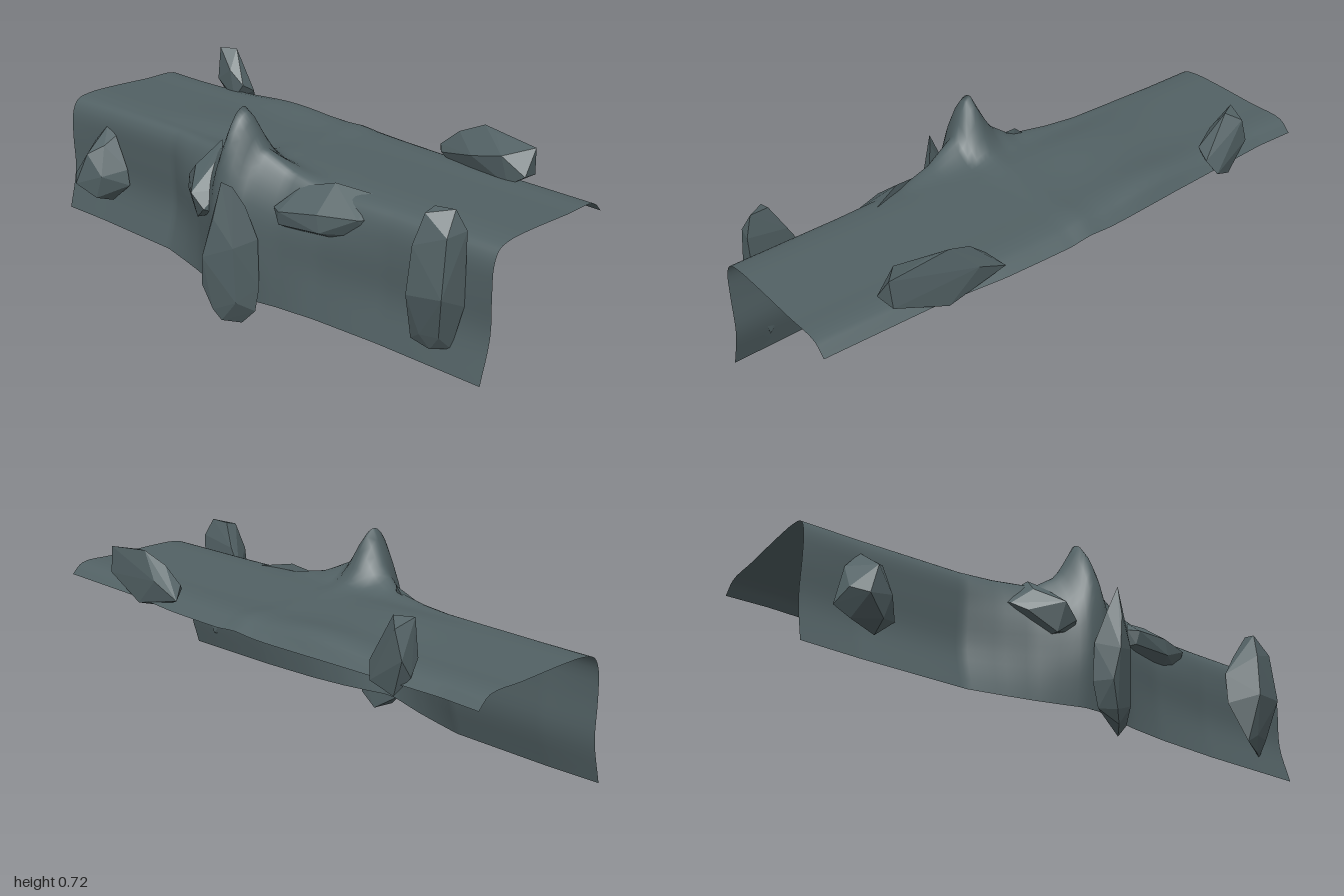
import * as THREE from 'three';
import { ConvexGeometry } from 'three/addons/geometries/ConvexGeometry.js';

const stone = new THREE.MeshStandardMaterial({ color: 0x526164, side: THREE.DoubleSide });
stone.name = 'slate grey stone';

// Smooth interpolation through [x, value] keys
function keyed(keys, x) {
  let i = 0;
  while (i < keys.length - 2 && x > keys[i + 1][0]) i++;
  const [x0, a] = keys[i], [x1, b] = keys[i + 1];
  return THREE.MathUtils.lerp(a, b, THREE.MathUtils.clamp((x - x0) / (x1 - x0), 0, 1));
}

// Cross-sections [z, y] from the back lip, over the top and down the front wall
const plain = [[-0.385, 0.475], [-0.34, 0.512], [-0.2, 0.517], [0, 0.524], [0.09, 0.522],
  [0.14, 0.508], [0.163, 0.465], [0.164, 0.37], [0.16, 0.23], [0.2, 0.08]];
const peak = [[-0.425, 0.485], [-0.36, 0.522], [-0.2, 0.522], [0, 0.532], [0.1, 0.56],
  [0.205, 0.725], [0.25, 0.705], [0.322, 0.54], [0.335, 0.3], [0.305, 0.08]];

// How far the front wall bulges, the peak rises and the back edge bows along x
const bulge = [[-1, 0.08], [-0.8, 0], [-0.42, 0], [-0.3, 0.25], [-0.2, 0.48], [-0.1, 0.76], [-0.03, 0.97],
  [0.03, 0.97], [0.1, 0.78], [0.2, 0.55], [0.35, 0.33], [0.6, 0.14], [1, 0.02]];
const rise = [[-1, 0], [-0.3, 0.06], [-0.15, 0.12], [-0.07, 0.38], [0, 1], [0.03, 0.9],
  [0.08, 0.42], [0.2, 0.16], [0.35, 0], [1, 0]];
const bow = [[-1, 0], [-0.85, -0.15], [-0.4, 0.4], [-0.1, 0.85], [0.1, 1], [0.35, 0.75], [0.6, 0.15], [1, 0]];

function ledgeGeometry() {
  const nx = 100, ns = 36;
  const pos = [], index = [];
  for (let i = 0; i <= nx; i++) {
    const x = -1 + 2 * i / nx;
    const wz = keyed(bulge, x), wy = keyed(rise, x), wb = keyed(bow, x);
    const swell = 0.022 * Math.exp(-(((x + 0.32) / 0.22) ** 2));
    const curve = new THREE.CatmullRomCurve3(plain.map(([z, y], k) => new THREE.Vector3(
      x,
      THREE.MathUtils.lerp(y, peak[k][1], wy) + (k > 0 && k < 4 ? swell * (k === 1 ? 1 : 0.5) : 0),
      THREE.MathUtils.lerp(z, peak[k][0], k < 3 ? wb : wz))), false, 'centripetal');
    for (let j = 0; j <= ns; j++) {
      const p = curve.getPoint(j / ns);
      pos.push(p.x, p.y, p.z);
      if (i < nx && j < ns) {
        const a = i * (ns + 1) + j, b = a + ns + 1;
        index.push(a, a + 1, b, b, a + 1, b + 1);
      }
    }
  }
  const g = new THREE.BufferGeometry();
  g.setAttribute('position', new THREE.Float32BufferAttribute(pos, 3));
  g.setIndex(index);
  g.computeVertexNormals();
  return g;
}

// Faceted rocks, each the hull of a few corner points
const rocks = {
  leftWallRock: [[-0.9, 0.23, 0.2], [-0.86, 0.38, 0.18], [-0.8, 0.455, 0.16], [-0.74, 0.43, 0.17], [-0.68, 0.31, 0.17],
    [-0.67, 0.25, 0.17], [-0.75, 0.175, 0.19], [-0.85, 0.19, 0.22], [-0.83, 0.25, 0.3], [-0.88, 0.27, 0.26],
    [-0.79, 0.37, 0.27], [-0.73, 0.29, 0.255], [-0.75, 0.4, 0.22], [-0.76, 0.2, 0.26]],
  slopeRock: [[-0.28, 0.44, 0.18], [-0.23, 0.5, 0.15], [-0.16, 0.56, 0.16], [-0.12, 0.53, 0.2], [-0.06, 0.43, 0.26],
    [-0.06, 0.35, 0.28], [-0.14, 0.32, 0.3], [-0.23, 0.39, 0.26], [-0.27, 0.42, 0.22], [-0.13, 0.42, 0.335],
    [-0.08, 0.37, 0.325], [-0.2, 0.48, 0.25], [-0.15, 0.33, 0.2]],
  centreShard: [[0.06, 0.52, 0.37], [0.08, 0.5, 0.34], [0.02, 0.42, 0.36], [-0.02, 0.3, 0.34], [-0.03, 0.16, 0.34],
    [-0.01, 0.07, 0.34], [0.05, 0.02, 0.37], [0.09, 0.005, 0.315], [0.14, 0.06, 0.3], [0.15, 0.15, 0.29],
    [0.145, 0.32, 0.29], [0.11, 0.43, 0.31], [0.02, 0.26, 0.425], [0.03, 0.06, 0.39], [0.05, 0.4, 0.4],
    [0.11, 0.3, 0.37], [0.11, 0.1, 0.36], [0.0, 0.15, 0.41]],
  ledgeSlab: [[0.19, 0.44, 0.26], [0.25, 0.51, 0.19], [0.36, 0.54, 0.15], [0.48, 0.52, 0.1], [0.55, 0.46, 0.12],
    [0.5, 0.4, 0.16], [0.4, 0.37, 0.19], [0.25, 0.365, 0.22], [0.2, 0.385, 0.25], [0.23, 0.44, 0.28],
    [0.37, 0.46, 0.25], [0.5, 0.465, 0.2], [0.38, 0.4, 0.25], [0.22, 0.39, 0.27]],
  rightPillar: [[0.81, 0.61, 0.21], [0.88, 0.615, 0.2], [0.91, 0.55, 0.18], [0.905, 0.3, 0.17], [0.87, 0.15, 0.18],
    [0.82, 0.145, 0.22], [0.76, 0.17, 0.24], [0.71, 0.32, 0.2], [0.715, 0.44, 0.19], [0.76, 0.52, 0.19],
    [0.81, 0.6, 0.255], [0.79, 0.5, 0.285], [0.78, 0.34, 0.295], [0.8, 0.2, 0.25], [0.89, 0.54, 0.25],
    [0.895, 0.35, 0.27], [0.86, 0.2, 0.23]],
  backLeftRock: [[-0.715, 0.675, -0.34], [-0.655, 0.675, -0.37], [-0.7, 0.65, -0.41], [-0.73, 0.56, -0.41],
    [-0.73, 0.5, -0.37], [-0.72, 0.55, -0.33], [-0.64, 0.6, -0.32], [-0.58, 0.55, -0.33], [-0.57, 0.52, -0.38],
    [-0.6, 0.47, -0.41], [-0.68, 0.435, -0.39], [-0.62, 0.49, -0.32]],
  backRightRock: [[0.34, 0.51, -0.4], [0.38, 0.55, -0.35], [0.45, 0.61, -0.36], [0.54, 0.65, -0.38], [0.6, 0.64, -0.36],
    [0.73, 0.59, -0.33], [0.755, 0.625, -0.37], [0.76, 0.54, -0.31], [0.68, 0.6, -0.285], [0.56, 0.57, -0.285],
    [0.7, 0.5, -0.3], [0.75, 0.53, -0.38], [0.56, 0.46, -0.4], [0.5, 0.45, -0.34], [0.4, 0.53, -0.33], [0.45, 0.56, -0.41]],
};

export function createModel() {
  const group = new THREE.Group();
  group.name = 'rockLedge';

  const ledge = new THREE.Mesh(ledgeGeometry(), stone);
  ledge.name = 'ledgeSurface';
  group.add(ledge);

  for (const [name, points] of Object.entries(rocks)) {
    const rock = new THREE.Mesh(new ConvexGeometry(points.map(p => new THREE.Vector3(...p))), stone);
    rock.name = name;
    group.add(rock);
  }
  return group;
}
